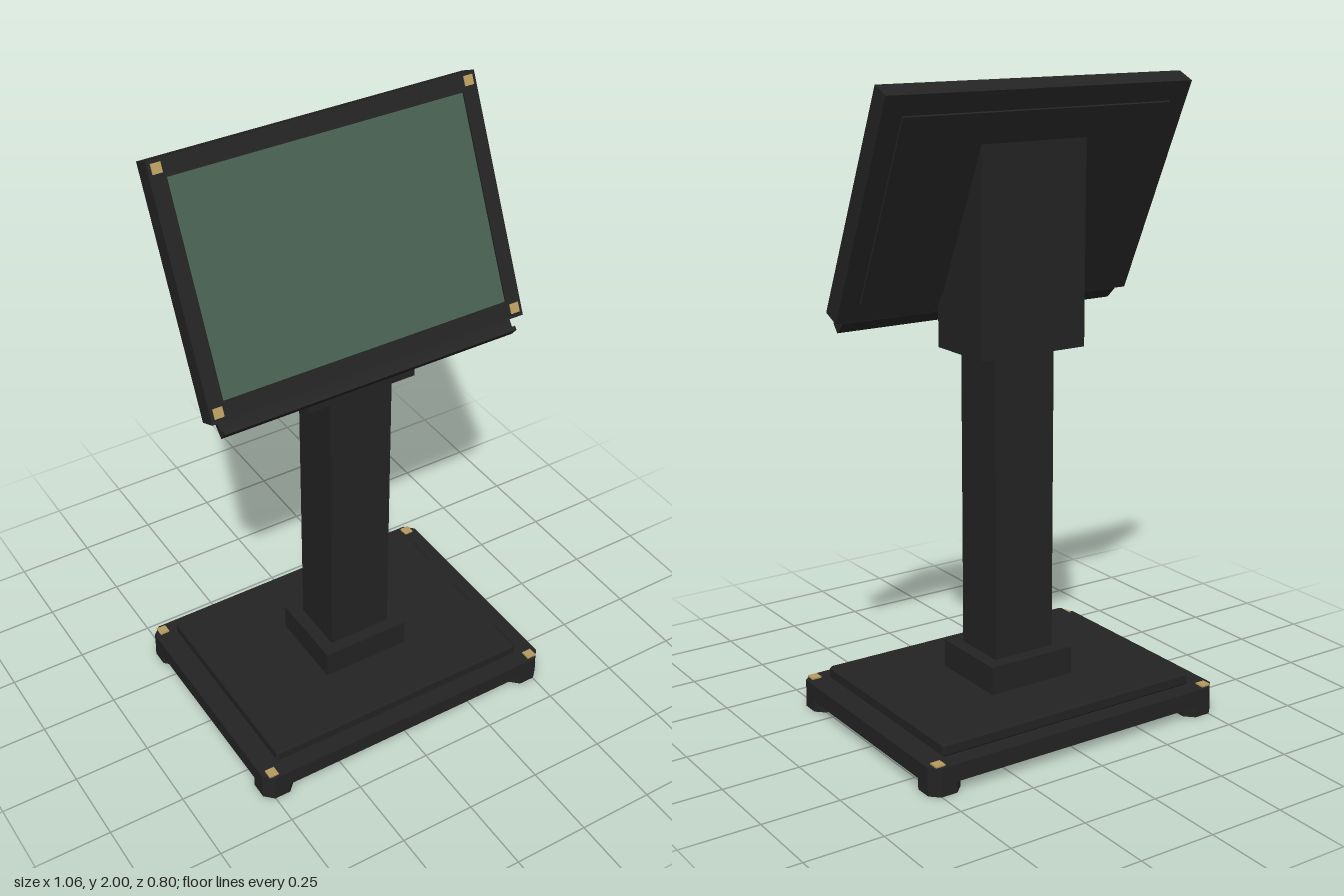
import * as THREE from 'three';

const frameMat = new THREE.MeshStandardMaterial({ color: 0x232323 });
frameMat.name = 'charcoal metal';
const screenMat = new THREE.MeshStandardMaterial({ color: 0x465e50 });
screenMat.name = 'green screen';
const brassMat = new THREE.MeshStandardMaterial({ color: 0xb59a5e });
brassMat.name = 'brass';

function add(parent, name, geometry, material, x = 0, y = 0, z = 0) {
  const mesh = new THREE.Mesh(geometry, material);
  mesh.name = name;
  mesh.position.set(x, y, z);
  parent.add(mesh);
  return mesh;
}

// Box given by its size and the centre of its underside
function block(parent, name, w, h, d, x, y, z, material = frameMat) {
  return add(parent, name, new THREE.BoxGeometry(w, h, d), material, x, y + h / 2, z);
}

const polygon = (points) => new THREE.Shape(points.map(([a, b]) => new THREE.Vector2(a, b)));

// Horizontal slab with cut corners and an optional bevelled rim
function slab(parent, name, w, d, y0, y1, cut, bevel, x = 0, z = 0) {
  const a = w / 2 - bevel, b = d / 2 - bevel, c = cut;
  const shape = polygon([
    [a - c, -b], [a, -b + c], [a, b - c], [a - c, b],
    [-a + c, b], [-a, b - c], [-a, -b + c], [-a + c, -b],
  ]);
  const geometry = new THREE.ExtrudeGeometry(shape, {
    depth: y1 - y0 - 2 * bevel, bevelEnabled: bevel > 0,
    bevelSize: bevel, bevelThickness: bevel, bevelSegments: 1,
  });
  geometry.rotateX(-Math.PI / 2);
  return add(parent, name, geometry, frameMat, x, y0 + bevel, z);
}

// Side profile, points as [z, y], swept across the width
function profile(parent, name, points, width) {
  const shape = polygon(points.map(([z, y]) => [-z, y]));
  const geometry = new THREE.ExtrudeGeometry(shape, { depth: width, bevelEnabled: false });
  geometry.translate(0, 0, -width / 2);
  geometry.rotateY(Math.PI / 2);
  return add(parent, name, geometry, frameMat);
}

export function createModel() {
  const model = new THREE.Group();
  model.name = 'kiosk';

  // Base, feet and brass corner studs
  slab(model, 'base', 1.06, 0.8, 0.035, 0.09, 0.03, 0);
  slab(model, 'basePlate', 0.92, 0.69, 0.09, 0.13, 0.004, 0.006);
  for (const sx of [-1, 1]) {
    for (const sz of [-1, 1]) {
      slab(model, 'foot', 0.11, 0.11, 0, 0.035, 0.028, 0, sx * 0.475, sz * 0.345);
      block(model, 'baseStud', 0.032, 0.005, 0.032, sx * 0.497, 0.09, sz * 0.374, brassMat);
    }
  }

  // Column
  block(model, 'collar', 0.3, 0.09, 0.273, 0, 0.13, 0);
  block(model, 'column', 0.214, 0.97, 0.185, 0, 0.22, 0.002);

  // Wedge bracket between column and display
  profile(model, 'bracket', [[0.1, 1.19], [-0.14, 1.19], [-0.14, 1.83], [0.1, 1.315]], 0.37);

  // Hooked ledge under the display
  profile(model, 'ledge', [
    [0.178, 1.288], [0.156, 1.261], [0.119, 1.295], [0.119, 1.315],
    [0.134, 1.312], [0.156, 1.284], [0.168, 1.297],
  ], 1.0);

  // Display, leaning back about its lower front edge
  const display = new THREE.Group();
  display.name = 'display';
  display.position.set(0, 1.325, 0.165);
  display.rotation.x = -0.43;
  model.add(display);

  const W = 1.06, H = 0.743, rim = 0.055;
  block(display, 'displayBody', W, H, 0.053, 0, 0, -0.0365);
  block(display, 'backPanel', W - 0.13, H - 0.13, 0.009, 0, 0.065, -0.0665);

  const outline = polygon([[-W / 2, 0], [W / 2, 0], [W / 2, H], [-W / 2, H]]);
  outline.holes.push(new THREE.Path([[-0.48, rim], [-0.48, H - rim], [0.48, H - rim], [0.48, rim]]
    .map(([x, y]) => new THREE.Vector2(x, y))));
  add(display, 'bezel', new THREE.ExtrudeGeometry(outline, { depth: 0.01, bevelEnabled: false }),
    frameMat, 0, 0, -0.01);
  block(display, 'screen', 0.96, H - 2 * rim, 0.004, 0, rim, -0.008, screenMat);

  for (const sx of [-1, 1]) {
    for (const y of [0.014, H - 0.04]) {
      block(display, 'bezelStud', 0.03, 0.03, 0.004, sx * 0.504, y, 0.002, brassMat);
    }
  }
  return model;
}
